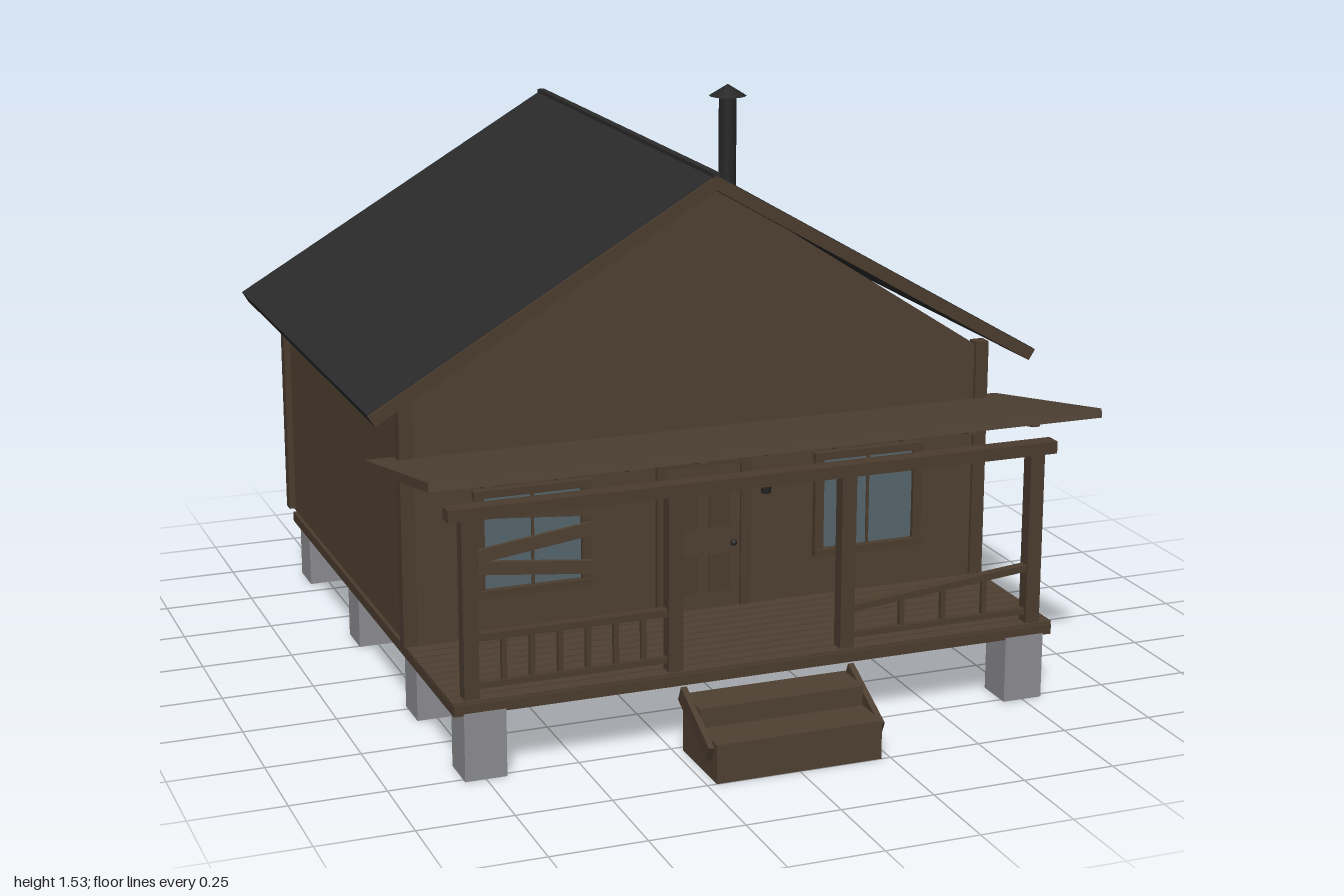
import * as THREE from 'three';

const mat = (name, color) => {
  const m = new THREE.MeshStandardMaterial({ color });
  m.name = name;
  return m;
};

export function createModel() {
  const wood = mat('wall wood', 0x4f4032);
  const trim = mat('trim wood', 0x4b3c2e);
  const roofing = mat('roofing', 0x2b2b2b);
  const metal = mat('dark metal', 0x262627);
  const concrete = mat('concrete', 0x8c8c91);
  const glass = mat('window glass', 0x55656c);
  const model = new THREE.Group();
  model.name = 'cabin';

  const add = (name, geometry, material, parent = model) => {
    const mesh = new THREE.Mesh(geometry, material);
    mesh.name = name;
    parent.add(mesh);
    return mesh;
  };
  // Box given by its lower and upper corners
  const box = (name, x0, x1, y0, y1, z0, z1, material, parent) => {
    const mesh = add(name, new THREE.BoxGeometry(x1 - x0, y1 - y0, z1 - z0), material, parent);
    mesh.position.set((x0 + x1) / 2, (y0 + y1) / 2, (z0 + z1) / 2);
    return mesh;
  };
  // Outline in x and y, extruded from z0 to z1
  const prism = (name, pts, z0, z1, material, parent) => {
    const shape = new THREE.Shape(pts.map(p => new THREE.Vector2(...p)));
    const mesh = add(name, new THREE.ExtrudeGeometry(shape, { depth: z1 - z0, bevelEnabled: false }), material, parent);
    mesh.position.z = z0;
    return mesh;
  };
  // Board between two points in the front plane
  const board = (name, a, b, width, z0, z1, material, parent) => {
    const dx = b[0] - a[0], dy = b[1] - a[1];
    const mesh = add(name, new THREE.BoxGeometry(Math.hypot(dx, dy), width, z1 - z0), material, parent);
    mesh.position.set((a[0] + b[0]) / 2, (a[1] + b[1]) / 2, (z0 + z1) / 2);
    mesh.rotation.z = Math.atan2(dy, dx);
    return mesh;
  };
  // Board between two points (z, y) in the side plane
  const slope = (name, x0, x1, a, b, thick, material, parent) => {
    const dz = b[0] - a[0], dy = b[1] - a[1];
    const mesh = add(name, new THREE.BoxGeometry(x1 - x0, thick, Math.hypot(dz, dy)), material, parent);
    mesh.position.set((x0 + x1) / 2, (a[1] + b[1]) / 2, (a[0] + b[0]) / 2);
    mesh.rotation.x = -Math.atan2(dy, dz);
    return mesh;
  };

  // Foundation piers: the front row has only the two corners
  [0.712, 0.285, -0.3, -0.865].forEach((z, row) => {
    for (const x of [-0.75, -0.25, 0.25, 0.75]) {
      if (row === 0 && Math.abs(x) < 0.5) continue;
      box('pier', x - 0.055, x + 0.055, 0, 0.18, z - 0.055, z + 0.055, concrete);
    }
  });

  // Floor and porch planks
  box('floor', -0.83, 0.83, 0.175, 0.203, -0.9, 0.765, trim);
  for (let i = 0; i < 10; i++) {
    const z = 0.345 + i * 0.042;
    box('deckPlank', -0.832, 0.832, 0.2, 0.21, z, z + 0.037, wood);
  }

  // House body with gables
  prism('walls', [[-0.82, 0.203], [0.82, 0.203], [0.82, 0.86], [0, 1.39], [-0.82, 0.86]], -0.94, 0.335, wood);
  for (const s of [-1, 1]) {
    const x = s * 0.819;
    box('cornerTrim', x - 0.019, x + 0.019, 0.21, 0.88, 0.307, 0.345, trim);
    box('cornerTrim', x - 0.019, x + 0.019, 0.21, 0.88, -0.947, -0.91, trim);
  }

  // Main roof, front barge boards and ridge
  const chevron = drop => [[0, 1.415 - drop], [-0.938, 0.868 - drop], [-0.92, 0.838], [0, 1.375], [0.92, 0.838], [0.938, 0.868 - drop]];
  prism('mainRoof', chevron(0), -1, 0.417, roofing);
  prism('bargeBoards', chevron(0.002), 0.417, 0.425, trim);
  box('ridgeCap', -0.01, 0.01, 1.4, 1.42, -1, 0.425, roofing);

  // Stove pipe
  const pipe = add('stovePipe', new THREE.CylinderGeometry(0.025, 0.025, 0.32, 16), metal);
  pipe.position.set(0.305, 1.34, -0.253);
  const cap = add('pipeCap', new THREE.ConeGeometry(0.053, 0.033, 16), metal);
  cap.position.set(0.305, 1.514, -0.253);

  // Porch roof rising toward the front, with rafters
  const porch = new THREE.Group();
  porch.name = 'porch';
  model.add(porch);
  slope('porchRoof', -0.907, 0.907, [0.262, 0.692], [0.851, 0.803], 0.024, wood, porch);
  for (let i = 0; i < 9; i++) {
    const x = (i - 4) * 0.186;
    slope('rafter', x - 0.01, x + 0.01, [0.27, 0.681], [0.8, 0.781], 0.024, trim, porch);
  }
  box('porchBeam', -0.833, 0.833, 0.675, 0.708, 0.712, 0.757, trim, porch);
  for (const x of [-0.779, -0.238, 0.238, 0.779]) {
    box('porchPost', x - 0.02, x + 0.02, 0.21, 0.68, 0.715, 0.754, trim, porch);
  }

  // Railings: whole on the right side, sagging on the left
  box('topRail', -0.76, -0.25, 0.358, 0.377, 0.722, 0.747, trim, porch);
  box('bottomRail', -0.76, -0.25, 0.232, 0.248, 0.725, 0.744, trim, porch);
  for (let i = 0; i < 6; i++) {
    const x = -0.69 + i * 0.074;
    box('baluster', x - 0.007, x + 0.007, 0.24, 0.365, 0.728, 0.741, trim, porch);
  }
  board('brokenTopRail', [0.25, 0.313], [0.76, 0.362], 0.018, 0.722, 0.747, trim, porch);
  box('bottomRail', 0.25, 0.76, 0.232, 0.248, 0.725, 0.744, trim, porch);
  for (const x of [0.4, 0.52, 0.64]) {
    box('baluster', x - 0.007, x + 0.007, 0.24, 0.313 + (x - 0.25) * 0.096, 0.728, 0.741, trim, porch);
  }

  // Door
  const door = new THREE.Group();
  door.name = 'door';
  model.add(door);
  for (const s of [-1, 1]) box('doorJamb', s * 0.12 - 0.015, s * 0.12 + 0.015, 0.21, 0.615, 0.33, 0.35, trim, door);
  box('doorHead', -0.135, 0.135, 0.615, 0.642, 0.33, 0.352, trim, door);
  box('doorLeaf', -0.105, 0.105, 0.21, 0.615, 0.33, 0.341, wood, door);
  for (const x of [-0.045, 0.045]) {
    box('upperPanel', x - 0.03, x + 0.03, 0.44, 0.563, 0.335, 0.346, trim, door);
    box('lowerPanel', x - 0.03, x + 0.03, 0.255, 0.365, 0.335, 0.346, trim, door);
  }
  const knob = add('doorKnob', new THREE.SphereGeometry(0.009, 12, 8), metal, door);
  knob.position.set(0.085, 0.39, 0.349);

  // Wall lantern
  const lantern = new THREE.Group();
  lantern.name = 'lantern';
  lantern.position.set(0.172, 0, 0.362);
  model.add(lantern);
  add('lanternBody', new THREE.CylinderGeometry(0.018, 0.014, 0.042, 8), metal, lantern).position.y = 0.546;
  add('lanternCap', new THREE.ConeGeometry(0.027, 0.02, 8), metal, lantern).position.y = 0.577;
  box('lanternArm', -0.006, 0.006, 0.56, 0.572, -0.03, 0, metal, lantern);

  // Windows
  for (const s of [-1, 1]) {
    const w = new THREE.Group();
    w.name = s < 0 ? 'rightWindow' : 'leftWindow';
    w.position.x = s * 0.482;
    model.add(w);
    box('glass', -0.14, 0.14, 0.335, 0.6, 0.333, 0.34, glass, w);
    for (const t of [-1, 1]) box('windowSide', t * 0.147 - 0.013, t * 0.147 + 0.013, 0.335, 0.6, 0.33, 0.352, trim, w);
    box('windowHead', -0.162, 0.162, 0.594, 0.615, 0.33, 0.355, trim, w);
    box('windowSill', -0.162, 0.162, 0.322, 0.342, 0.33, 0.36, trim, w);
    box('mullion', -0.004, 0.004, 0.34, 0.6, 0.335, 0.344, trim, w);
    if (s > 0) continue;
    // Boards nailed over the broken window
    [[0.562, 0.535], [0.44, 0.482], [0.41, 0.375]].forEach(([a, b], i) =>
      board('windowBoard', [-0.158, a], [0.16, b], 0.036, 0.352, 0.362 + i * 0.002, wood, w));
  }

  // Front steps with sloping side boards
  const steps = new THREE.Group();
  steps.name = 'steps';
  model.add(steps);
  box('lowerStep', -0.225, 0.225, 0, 0.103, 0.885, 1, wood, steps);
  box('upperStep', -0.225, 0.225, 0, 0.155, 0.77, 0.885, wood, steps);
  for (const s of [-1, 1]) {
    slope('stringer', s * 0.232 - 0.008, s * 0.232 + 0.008, [0.782, 0.162], [0.975, 0.07], 0.045, trim, steps);
  }
  return model;
}
